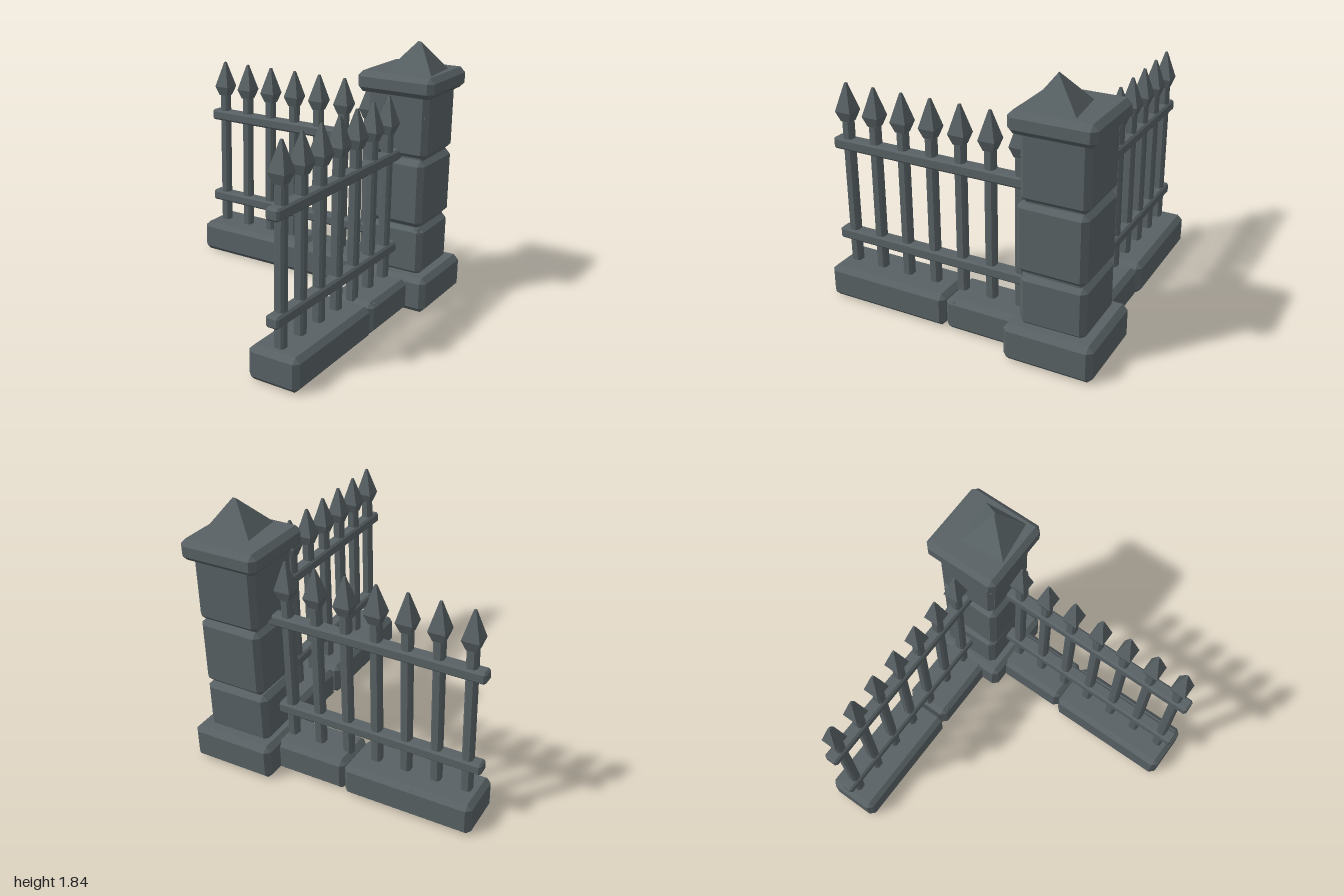
import * as THREE from 'three';
import { ConvexGeometry } from 'three/addons/geometries/ConvexGeometry.js';

const stone = new THREE.MeshStandardMaterial({ color: 0x586164 });
stone.name = 'dark grey';

function add(parent, name, geometry) {
  const mesh = new THREE.Mesh(geometry, stone);
  mesh.name = name;
  parent.add(mesh);
  return mesh;
}

// Box with bevelled edges, given by its limits on each axis
function bevelBox(parent, name, [x0, x1], [y0, y1], [z0, z1], bevel, turn = 0) {
  const h = [(x1 - x0) / 2, (y1 - y0) / 2, (z1 - z0) / 2];
  const points = [];
  for (const sx of [-1, 1]) for (const sy of [-1, 1]) for (const sz of [-1, 1]) {
    for (let full = 0; full < 3; full++) {
      const e = h.map((v, i) => (i === full ? v : v - bevel));
      points.push(new THREE.Vector3(sx * e[0], sy * e[1], sz * e[2]));
    }
  }
  const mesh = add(parent, name, new ConvexGeometry(points));
  mesh.position.set((x0 + x1) / 2, (y0 + y1) / 2, (z0 + z1) / 2);
  mesh.rotation.y = turn;
  return mesh;
}

// Shallow three-sided chip on a stone edge, facing along the given direction
function chip(parent, position, direction, size, spin) {
  const geometry = new THREE.ConeGeometry(size, size * 0.35, 3).toNonIndexed();
  geometry.rotateY(spin);
  geometry.computeVertexNormals();
  const mesh = add(parent, 'chip', geometry);
  mesh.position.set(...position);
  mesh.quaternion.setFromUnitVectors(
    new THREE.Vector3(0, 1, 0), new THREE.Vector3(...direction).normalize());
}

// Square spearhead
function spikeGeometry() {
  const r = Math.SQRT2;
  const profile = [[0, 1.25], [0.034, 1.25], [0.058, 1.32], [0.007, 1.51], [0, 1.512]]
    .map(([x, y]) => new THREE.Vector2(x * r, y));
  const geometry = new THREE.LatheGeometry(profile, 4, Math.PI / 4).toNonIndexed();
  geometry.computeVertexNormals();
  return geometry;
}

// One fence wing running along x
function createFence(name) {
  const fence = new THREE.Group();
  fence.name = name;
  const z = -0.70;
  bevelBox(fence, 'outerBaseStone', [-1, -0.1], [0, 0.23], [-0.88, -0.52], 0.034);
  bevelBox(fence, 'innerBaseStone', [-0.095, 0.46], [0, 0.228], [-0.86, -0.525], 0.034);
  for (const y of [0.385, 1.05]) {
    bevelBox(fence, 'rail', [-1, 0.6], [y, y + 0.08], [z - 0.047, z + 0.047], 0.014);
  }
  const spike = spikeGeometry();
  for (let i = 0; i < 7; i++) {
    const x = -0.898 + i * 0.2125;
    bevelBox(fence, 'bar', [x - 0.035, x + 0.035], [0.2, 1.265], [z - 0.035, z + 0.035], 0.015);
    add(fence, 'spike', spike).position.set(x, 0, z);
  }
  chip(fence, [-0.59, 0.21, -0.862], [0, 1, -1], 0.035, 0.4);
  for (const x of [-0.88, -0.43, -0.03]) {
    chip(fence, [x, 0.21, -0.538], [0, 1, 1], 0.032, x * 3);
  }
  chip(fence, [-0.122, 0.17, -0.541], [1, 0.3, 1], 0.035, 1);
  return fence;
}

// Corner pillar with stacked blocks and a pointed cap
function createPillar() {
  const pillar = new THREE.Group();
  pillar.name = 'pillar';
  bevelBox(pillar, 'pillarBase', [0.395, 1], [0, 0.253], [-1, -0.395], 0.036);
  bevelBox(pillar, 'lowerBlock', [0.455, 0.922], [0.235, 0.59], [-0.915, -0.47], 0.036, 0.012);
  bevelBox(pillar, 'middleBlock', [0.467, 0.922], [0.595, 1.067], [-0.918, -0.45], 0.036, -0.012);
  bevelBox(pillar, 'upperBlock', [0.472, 0.922], [1.07, 1.53], [-0.922, -0.472], 0.036, 0.006);
  bevelBox(pillar, 'pillarCap', [0.415, 0.975], [1.5, 1.643], [-0.973, -0.415], 0.036);

  // Joint cores between the blocks
  bevelBox(pillar, 'mortarCore', [0.5, 0.89], [0.2, 1.55], [-0.88, -0.5], 0.01);

  // Slightly twisted off-centre point
  const base = [[0.597, -0.462], [0.926, -0.508], [0.903, -0.83], [0.566, -0.79]];
  const points = base.map(([x, z]) => new THREE.Vector3(x, 1.635, z));
  points.push(new THREE.Vector3(0.752, 1.84, -0.645), new THREE.Vector3(0.772, 1.84, -0.65));
  add(pillar, 'capPoint', new ConvexGeometry(points));

  // Thin cracked slab on the front of the upper block
  const crack = new THREE.Shape([
    [0.505, 1.12], [0.55, 1.15], [0.585, 1.23], [0.598, 1.3], [0.615, 1.48], [0.505, 1.48],
  ].map(([x, y]) => new THREE.Vector2(x, y)));
  add(pillar, 'crackedSlab', new THREE.ExtrudeGeometry(crack, { depth: 0.005, bevelEnabled: false }))
    .position.z = -0.473;

  // Worn block edges
  chip(pillar, [0.903, 0.83, -0.47], [1, 0, 1], 0.035, 0.5);
  chip(pillar, [0.49, 1.36, -0.49], [-1, 0, 1], 0.035, 1.2);
  chip(pillar, [0.903, 1.36, -0.49], [1, 0, 1], 0.035, 0.2);
  chip(pillar, [0.89, 0.575, -0.49], [1, 1, 1], 0.035, 0.8);
  chip(pillar, [0.5, 0.62, -0.468], [-0.3, -1, 1], 0.03, 0.3);
  chip(pillar, [0.94, 1.625, -0.94], [1, 1, -1], 0.035, 0.6);
  return pillar;
}

export function createModel() {
  const model = new THREE.Group();
  model.name = 'cornerFence';
  const sideFence = createFence('sideFence');
  const frontFence = createFence('frontFence');
  frontFence.rotation.y = Math.PI / 2;
  frontFence.position.x = 1.39;
  model.add(sideFence, frontFence, createPillar());
  return model;
}
